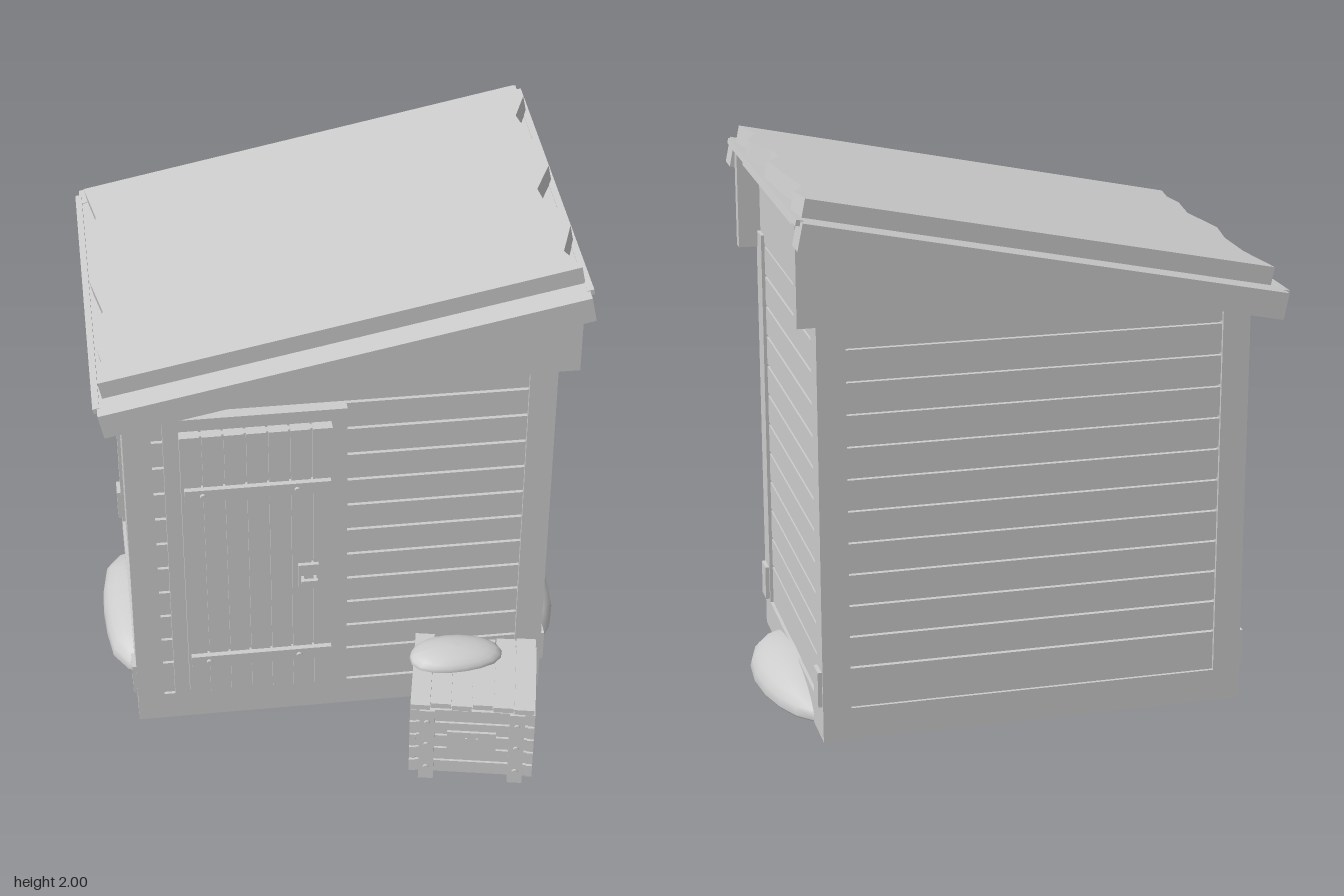
import * as THREE from 'three';

const gray = new THREE.MeshStandardMaterial({ color: 0xcccccc });
gray.name = 'plain gray';

function add(parent, name, geometry, x = 0, y = 0, z = 0) {
  const m = new THREE.Mesh(geometry, gray);
  m.name = name;
  m.position.set(x, y, z);
  parent.add(m);
  return m;
}

// Box given by its minimum and maximum on each axis
function box(parent, name, x0, x1, y0, y1, z0, z1) {
  return add(parent, name, new THREE.BoxGeometry(x1 - x0, y1 - y0, z1 - z0),
    (x0 + x1) / 2, (y0 + y1) / 2, (z0 + z1) / 2);
}

// Prism with an outline in x and y
function slab(parent, name, pts, z0, z1) {
  const shape = new THREE.Shape(pts.map(p => new THREE.Vector2(p[0], p[1])));
  return add(parent, name, new THREE.ExtrudeGeometry(shape, { depth: z1 - z0, bevelEnabled: false }), 0, 0, z0);
}

function bolt(parent, x, y, z) {
  const b = add(parent, 'bolt', new THREE.CylinderGeometry(0.011, 0.011, 0.012, 10), x, y, z);
  b.rotation.x = Math.PI / 2;
}

// Lumpy dome with a shallow undercut
function drift(parent, name, x, y, z, rx, up, down, rz, phase, square) {
  const g = new THREE.SphereGeometry(1, 18, 12);
  const p = g.attributes.position;
  for (let i = 0; i < p.count; i++) {
    const a = Math.atan2(p.getZ(i), p.getX(i));
    const c = Math.max(Math.abs(Math.cos(a)), Math.abs(Math.sin(a)));
    const r = (1 + square * (1 / c - 1)) * (0.97 + 0.03 * Math.sin(3 * a + phase));
    const h = p.getY(i);
    p.setXYZ(i, p.getX(i) * rx * r, h * (h > 0 ? up : down), p.getZ(i) * rz * r);
  }
  g.computeVertexNormals();
  add(parent, name, g, x, y, z);
}

const X0 = -0.79, X1 = 0.75, Z0 = -0.74, Z1 = 0.41;
const SLOPE = 0.2047, ROOF_X = -0.018, ROOF_Y = 1.717;
const roofY = (x, off = 0) => ROOF_Y + SLOPE * (x - ROOF_X) + off;

function buildWalls(root) {
  const g = new THREE.Group();
  g.name = 'walls';
  root.add(g);
  box(g, 'base', X0, X1, 0.03, 0.15, Z0, Z1);
  slab(g, 'wallCore', [[X0 + 0.03, 0.14], [X1 - 0.03, 0.14],
    [X1 - 0.03, roofY(X1 - 0.03, 0.02)], [X0 + 0.03, roofY(X0 + 0.03, 0.02)]], Z0 + 0.03, Z1 - 0.03);
  // Horizontal siding on all four sides
  const inset = 0.012;
  for (let k = 0; k < 12; k++) {
    const y0 = k ? 0.19 + k * 0.1157 : 0.15, y1 = 0.19 + (k + 1) * 0.1157 - 0.011;
    box(g, 'frontSiding', X0 + 0.09, X1 - 0.09, y0, y1, Z1 - 0.04, Z1 - inset);
    box(g, 'backSiding', X0 + 0.09, X1 - 0.09, y0, y1, Z0 + inset, Z0 + 0.04);
    box(g, 'rightSiding', X0 + inset, X0 + 0.04, y0, y1, Z0 + 0.09, Z1 - 0.09);
    box(g, 'leftSiding', X1 - 0.04, X1 - inset, y0, y1, Z0 + 0.09, Z1 - 0.09);
  }
  box(g, 'upperWall', X1 - 0.04, X1 - inset, 1.575, 1.87, Z0 + 0.01, Z1 - 0.01);
  // Corner posts with small foot plates
  for (const z of [Z0, Z1 - 0.1]) {
    box(g, 'cornerPost', X0, X0 + 0.1, 0.15, 1.57, z, z + 0.1);
    box(g, 'cornerPost', X1 - 0.1, X1, 0.15, 1.61, z, z + 0.1);
    box(g, 'footPlate', X0 - 0.015, X0, 0.16, 0.29, z + 0.012, z + 0.088);
    box(g, 'footPlate', X1, X1 + 0.015, 0.16, 0.29, z + 0.012, z + 0.088);
  }
  // Gable boards, overhanging on the high side
  const gable = [[-0.74, 1.55], [0.82, 1.55], [0.82, roofY(0.82, 0.02)], [-0.74, roofY(-0.74, 0.02)]];
  slab(g, 'frontGable', gable, Z1 - 0.02, Z1 + 0.028);
  slab(g, 'backGable', gable, Z0 - 0.034, Z0 + 0.02);
}

function buildRoof(root) {
  const g = new THREE.Group();
  g.name = 'roof';
  g.position.set(ROOF_X, ROOF_Y, 0);
  g.rotation.z = Math.atan(SLOPE);
  root.add(g);
  const L = 0.86;
  box(g, 'frontFascia', -L, L, -0.0475, 0.0475, 0.465, 0.56);
  box(g, 'backFascia', -L, L, -0.0475, 0.0475, -0.895, -0.8);
  // Roof planks with narrow seams
  const n = 13, w = 2 * L / n;
  for (let i = 0; i < n; i++)
    box(g, 'roofPlank', -L + i * w + 0.003, -L + (i + 1) * w - 0.003, 0.022, 0.0455, -0.8, 0.465);
  box(g, 'roofUnderlay', -L, L, 0.015, 0.036, -0.8, 0.465);
  for (const s of [-1, 1]) box(g, 'eaveTrim', s * (L + 0.003) - 0.012, s * (L + 0.003) + 0.012, 0.03, 0.05, -0.86, 0.515);
  box(g, 'eaveBeam', 0.8, 0.83, -0.02, 0.02, -0.775, 0.44);
  // Snow sheet with ragged ends
  const high = [[0.82, 0.46], [0.78, 0.34], [0.83, 0.2], [0.83, 0.12], [0.775, 0.03], [0.765, -0.07],
    [0.83, -0.2], [0.81, -0.38], [0.78, -0.58], [0.83, -0.7], [0.81, -0.795]];
  const low = [[-0.83, -0.795], [-0.795, -0.58], [-0.8, -0.37], [-0.84, -0.18], [-0.8, 0.04],
    [-0.835, 0.24], [-0.82, 0.34], [-0.84, 0.46]];
  const shape = new THREE.Shape([...high, ...low].map(p => new THREE.Vector2(p[0] * 1.02 + 0.018, -p[1])));
  const snow = add(g, 'roofSnow', new THREE.ExtrudeGeometry(shape, { depth: 0.066, bevelEnabled: false }), 0, 0.045, 0);
  snow.rotation.x = -Math.PI / 2;
}

function buildDoor(root) {
  const g = new THREE.Group();
  g.name = 'door';
  root.add(g);
  box(g, 'doorFrame', -0.65, 0, 0.17, 1.46, Z1 - 0.04, 0.44);
  for (let i = 0; i < 7; i++)
    box(g, 'doorPlank', -0.595 + i * 0.078, -0.525 + i * 0.078, 0.21, 1.41, 0.43, 0.48);
  box(g, 'doorBacking', -0.59, -0.06, 0.215, 1.405, 0.43, 0.465);
  for (const y of [0.38, 1.165]) {
    box(g, 'doorStrap', -0.585, -0.065, y - 0.025, y + 0.025, 0.47, 0.5);
    for (const x of [-0.52, -0.185]) bolt(g, x, y, 0.505);
  }
  box(g, 'latchPlate', -0.185, -0.11, 0.695, 0.805, 0.47, 0.495);
  box(g, 'latchBar', -0.178, -0.117, 0.743, 0.758, 0.515, 0.53);
  for (const x of [-0.17, -0.125]) box(g, 'latchMount', x - 0.005, x + 0.005, 0.745, 0.756, 0.49, 0.52);
}

function buildCrate(root) {
  const g = new THREE.Group();
  g.name = 'crate';
  g.position.set(0.45, 0, 0.655);
  g.rotation.y = -0.2;
  root.add(g);
  const W = 0.225, D = 0.185;
  box(g, 'crateCore', -W + 0.018, W - 0.018, 0.02, 0.335, -D + 0.018, D - 0.018);
  // Slats around the sides
  for (let k = 0; k < 5; k++) {
    const y0 = 0.018 + k * 0.064, y1 = y0 + 0.055;
    for (const s of [-1, 1]) {
      box(g, 'sideSlat', s * (W - 0.008) - 0.012, s * (W - 0.008) + 0.012, y0, y1, -D, D);
      box(g, 'endSlat', -W + 0.01, W - 0.01, y0, y1, s * (D - 0.012) - 0.008, s * (D - 0.012) + 0.008);
    }
  }
  // Upright cleats with bolts
  for (const s of [-1, 1]) {
    for (const x of [-0.165, 0.165])
      box(g, 'cleat', x - 0.028, x + 0.028, 0, 0.34, s * (D + 0.006) - 0.012, s * (D + 0.006) + 0.012);
  }
  for (const x of [-0.165, 0.165])
    for (const y of [0.06, 0.175, 0.285]) bolt(g, x, y, D + 0.02);
  // Front plate with grip slots
  box(g, 'frontPlate', -0.09, 0.09, 0.14, 0.23, D - 0.01, D + 0.006);
  for (const x of [-0.02, 0.02]) box(g, 'gripBar', x - 0.004, x + 0.004, 0.165, 0.205, D, D + 0.011);
  // Lid planks of slightly uneven length
  const trim = [0, 0.012, 0.004, 0.014, 0.006, 0];
  trim.forEach((t, i) =>
    box(g, 'lidPlank', -0.228 + i * 0.076, -0.156 + i * 0.076, 0.34, 0.362, -0.195 + t, 0.195 - t));
}

export function createModel() {
  const root = new THREE.Group();
  root.name = 'shed';
  buildWalls(root);
  buildRoof(root);
  buildDoor(root);
  buildCrate(root);
  drift(root, 'crateSnow', 0.39, 0.365, 0.56, 0.18, 0.05, 0.01, 0.1, 1, 0.1);
  drift(root, 'rightDrift', -0.72, 0.04, -0.2, 0.185, 0.115, 0.04, 0.37, 2, 0.25);
  drift(root, 'leftDrift', 0.72, 0.04, -0.17, 0.18, 0.115, 0.04, 0.41, 0.5, 0);
  return root;
}
